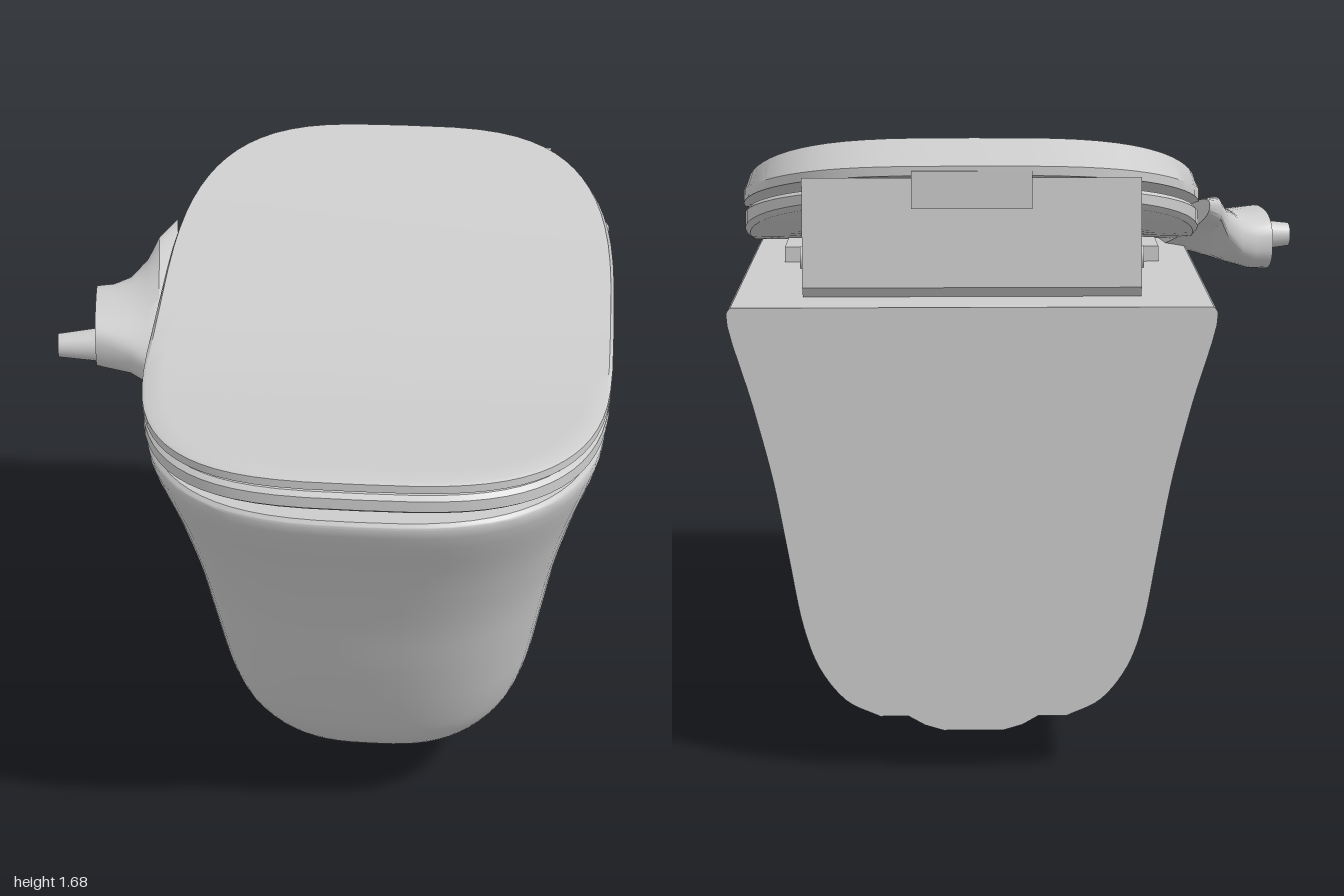
import * as THREE from 'three';
import { toCreasedNormals } from 'three/addons/utils/BufferGeometryUtils.js';

const SEG = 72;
const MID = 0.14; // centre line of the bowl; the side arm sits off to the right
const material = new THREE.MeshStandardMaterial({ color: 0xcccccc, side: THREE.DoubleSide });

// Rounded plan outline: superellipse in front of z0, another one (or a square end) behind it
function outline({ w, zf, z0, zb, y, nf = 2.8, nb = 3.4, s = 1 }) {
  const ring = [];
  for (let i = 0; i < SEG; i++) {
    const a = (i / SEG) * Math.PI * 2, c = Math.cos(a), d = Math.sin(a);
    const front = i <= SEG / 2;
    const e = 2 / (front ? nf : nb);
    const x = Math.sign(c) * Math.abs(c) ** e * w * s;
    const z = z0 + Math.abs(i % (SEG / 2) ? d : 0) ** e * ((front ? zf : zb) - z0) * s;
    ring.push(new THREE.Vector3(x, typeof y === 'function' ? y(z) : y, z));
  }
  return ring;
}

// Skin a row of closed rings, optionally closing both ends
function skin(rings, caps = true, crease = 0.6) {
  const pos = [];
  const tri = (...p) => p.forEach((v) => pos.push(v.x, v.y, v.z));
  const centre = (r) => r.reduce((t, p) => t.add(p), new THREE.Vector3()).divideScalar(r.length);
  const last = rings.length - 1;
  const o0 = centre(rings[0]), o1 = centre(rings[last]);
  const n = rings[0].length;
  for (let j = 0; j < n; j++) {
    const k = (j + 1) % n;
    for (let i = 0; i < last; i++) {
      const a = rings[i][j], b = rings[i][k], c = rings[i + 1][j], d = rings[i + 1][k];
      tri(a, b, c);
      tri(b, d, c);
    }
    if (caps) {
      tri(o0, rings[0][k], rings[0][j]);
      tri(o1, rings[last][j], rings[last][k]);
    }
  }
  const g = new THREE.BufferGeometry();
  g.setAttribute('position', new THREE.Float32BufferAttribute(pos, 3));
  return toCreasedNormals(g, crease);
}

// Extrude a (z, y) side profile across x
function sideExtrude(points, width) {
  const shape = new THREE.Shape(points.map(([z, y]) => new THREE.Vector2(z, y)));
  const g = new THREE.ExtrudeGeometry(shape, { depth: width, bevelEnabled: false });
  return g.translate(0, 0, -width / 2).rotateY(-Math.PI / 2);
}

export function createModel() {
  const model = new THREE.Group();
  model.name = 'wallHungToilet';
  const add = (name, geometry, x = MID, y = 0, z = 0) => {
    const m = new THREE.Mesh(geometry, material);
    m.name = name;
    m.position.set(x, y, z);
    model.add(m);
    return m;
  };

  // Bowl: basin, flat rim, flared outer wall and recessed underside
  const basin = [[0.16, 0.25, 0.75], [0.3, 0.5, 0.85], [0.4, 0.7, 1.05], [0.44, 0.76, 1.26]].map(
    ([w, zf, y]) => outline({ w, zf, z0: 0.15, zb: 0.05 - w, y, nb: 2.5 }));
  const profile = [ // half width, height, front z
    [0.63, 1.262, 0.99], [0.641, 1.245, 0.998], [0.575, 1.0, 0.865], [0.525, 0.8, 0.765], [0.488, 0.6, 0.68],
    [0.45, 0.4, 0.585], [0.41, 0.29, 0.52], [0.34, 0.2, 0.43], [0.25, 0.155, 0.32],
  ].map((p) => new THREE.Vector3(...p));
  const wall = new THREE.CatmullRomCurve3(profile, false, 'centripetal').getPoints(40).map((p) =>
    outline({ w: p.x, y: p.y, zf: p.z, z0: p.z * 0.44 - 0.24, zb: -1, nb: Infinity }));
  const recess = [0.155, 0.185].map((y) =>
    outline({ w: 0.21, zf: 0.25, z0: -0.1, zb: -0.82, y, nb: 8 }));
  add('bowl', skin([...basin, ...wall, ...recess]));

  // Trap bulge and rear outlet lip under the bowl
  add('trap', new THREE.SphereGeometry(1, 24, 16).scale(0.18, 0.19, 0.245), MID, 0.19, -0.235);
  const lip = new THREE.Shape([[-0.2, 0.17], [-0.13, 0.13], [-0.08, 0.115], [0.08, 0.115], [0.13, 0.13], [0.2, 0.17]]
    .map(([x, y]) => new THREE.Vector2(x, y)));
  add('outletLip', new THREE.ExtrudeGeometry(lip, { depth: 0.18, bevelEnabled: false }), MID, 0, -1);

  // Heights of seat and lid along z: level in front, sweeping up to the back
  const sweep = (base, gain, start, power) => (z) => base + gain * Math.max(0, start - z) ** power;
  const lidTop = sweep(1.375, 0.21, 0.5, 1.7);
  const lidUnder = sweep(1.347, 0.145, 0.5, 1.7);
  const seatTop = sweep(1.335, 0.14, 0.5, 1.7);
  const seatUnder = sweep(1.28, 0.24, 0.15, 1.3);

  // Seat ring
  const seat = { w: 0.65, zf: 0.98, z0: 0.1, zb: -0.83, nf: 3.2 };
  const hole = { w: 0.4, zf: 0.7, z0: 0.1, zb: -0.35, nf: 2.5, nb: 2.5 };
  const seatRings = [
    { ...hole, y: seatUnder }, { ...hole, y: seatTop },
    { ...seat, y: seatTop, s: 0.9 }, { ...seat, y: seatTop, s: 0.985 },
    { ...seat, y: (z) => seatTop(z) - 0.012 }, { ...seat, y: (z) => seatUnder(z) + 0.012 },
    { ...seat, y: seatUnder, s: 0.98 }, { ...seat, y: seatUnder, s: 0.85 }, { ...hole, y: seatUnder },
  ];
  add('seat', skin(seatRings.map(outline), false));

  // Lid with a sloping rear bevel
  const top = { w: 0.642, zf: 0.97, z0: 0.1, zb: -0.735, nf: 3.2, y: lidTop };
  const edge = { w: 0.652, zf: 0.98, z0: 0.1, zb: -0.85, nf: 3.2 };
  const lidRings = [];
  for (let i = 1; i <= 14; i++) lidRings.push({ ...top, s: i / 14 });
  lidRings.push({ ...edge, y: (z) => Math.min(lidTop(z) - 0.006, lidUnder(z) + 0.025 + 0.03 * Math.max(0, 0.3 - Math.abs(z + 0.3))) });
  for (let i = 14; i >= 1; i--) lidRings.push({ ...edge, y: lidUnder, s: i / 14 });
  add('lid', skin(lidRings.map(outline)));

  // Hinge housing behind the seat, with pivot discs and a rear latch
  add('hingeHousing', sideExtrude([
    [-0.26, 1.262], [-0.27, 1.3], [-0.42, 1.39], [-0.75, 1.53], [-0.825, 1.58], [-0.85, 1.29], [-0.825, 1.262],
  ], 0.9));
  for (const side of [-1, 1]) {
    add('pivotDisc', new THREE.CylinderGeometry(0.03, 0.03, 0.012, 20).rotateZ(Math.PI / 2), MID + side * 0.452, 1.36, -0.775);
    for (const [x, z] of [[0.52, 0.6], [0.5, -0.1]]) {
      add('bumper', new THREE.BoxGeometry(0.07, 0.05, 0.2), MID + side * x, 1.28, z);
    }
  }
  add('rearLatch', new THREE.BoxGeometry(0.32, 0.1, 0.03), MID, 1.55, -0.836);

  // Side arm flaring out of the seat to a flat, slightly turned end
  const arm = [ // x, z range, y range, slope along z
    [-0.46, -0.46, 0.42, 1.3, 1.38, 0.25], [-0.515, -0.36, 0.32, 1.28, 1.4, 0.25],
    [-0.55, -0.3, 0.23, 1.25, 1.39, 0.18], [-0.6, -0.25, 0.18, 1.23, 1.385, 0.08],
    [-0.65, -0.21, 0.155, 1.22, 1.39, 0.03], [-0.7, -0.19, 0.14, 1.22, 1.395, 0],
  ].map(([x, za, zb, ya, yb, slope]) => {
    const ring = [];
    for (let i = 0; i < 40; i++) {
      const a = (i / 40) * Math.PI * 2, c = Math.cos(a), d = Math.sin(a);
      const z = (za + zb) / 2 + Math.sign(c) * Math.abs(c) ** 0.75 * (zb - za) / 2;
      const y = (ya + yb) / 2 + Math.sign(d) * Math.abs(d) ** 0.75 * (yb - ya) / 2 - slope * z;
      ring.push(new THREE.Vector3(x + z * 0.13, y, z));
    }
    return ring;
  });
  add('sideArm', skin(arm), 0);

  // Tapered knob on the arm
  const knob = add('knob', new THREE.CylinderGeometry(0.034, 0.05, 0.13, 24).rotateZ(Math.PI / 2), -0.733, 1.297, 0.085);
  knob.rotation.y = 0.13;

  return model;
}
